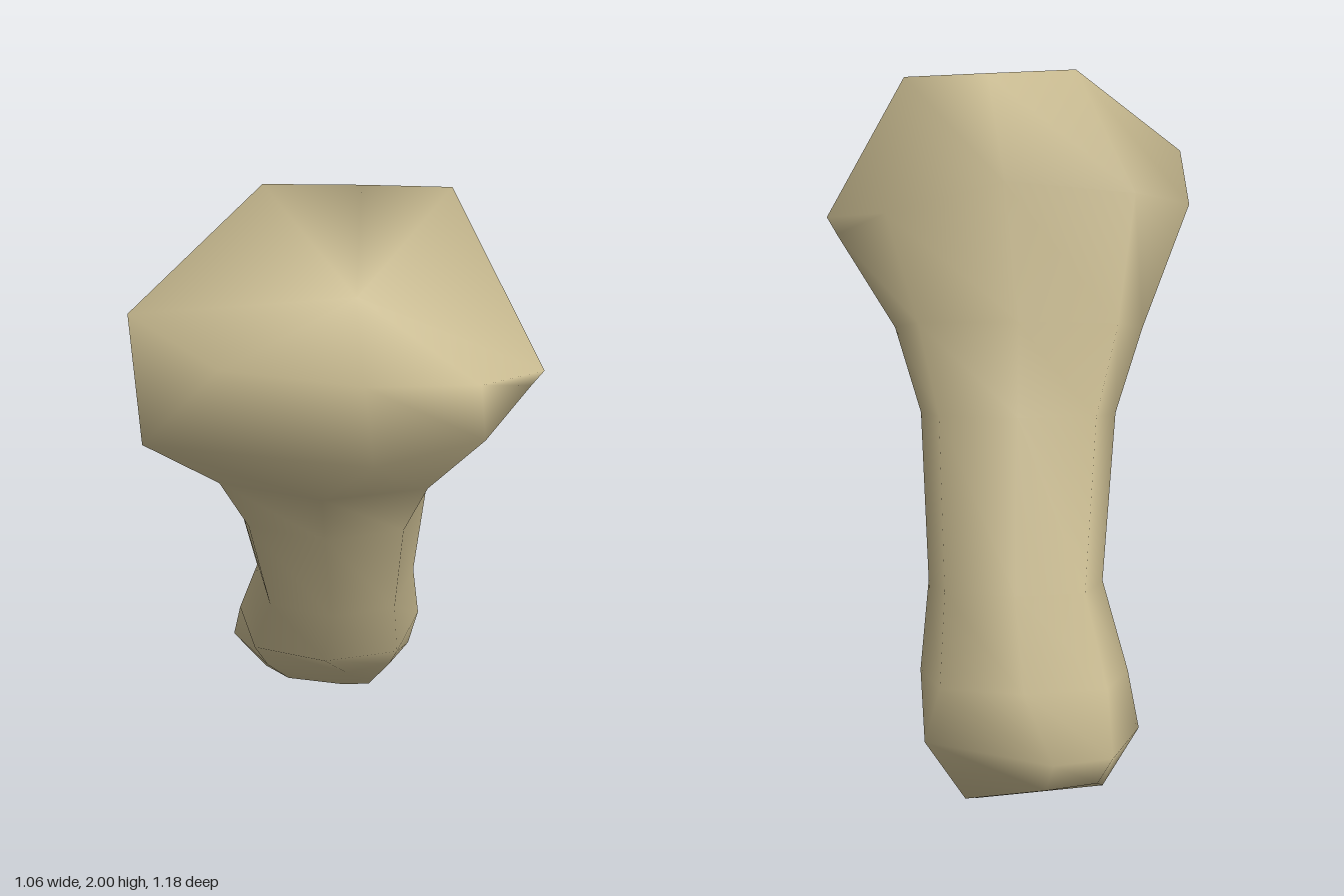
import * as THREE from 'three';

// Every ring has eight points, clockwise seen from above: back, back left, left,
// front left, front, front right, right, back right

// Head: slanted rim, then underside
const head = [
  [[0.05, 1.99, 0.05], [0.28, 1.98, 0.03], [0.53, 1.57, 0.24], [0.36, 1.66, 0.48],
    [0.08, 1.71, 0.59], [-0.28, 1.69, 0.49], [-0.52, 1.76, 0.34], [-0.2, 2, 0.08]],
  [[0, 1.7, -0.06], [0.34, 1.6, 0.05], [0.5, 1.52, 0.23], [0.38, 1.46, 0.41],
    [0.1, 1.42, 0.49], [-0.49, 1.44, 0.44], [-0.53, 1.62, 0.12], [-0.37, 1.66, 0.02]],
];

// Foot: widest ring, then sole
const foot = [
  [[-0.14, 0.2, -0.59], [0.21, 0.21, -0.46], [0.2, 0.2, -0.34], [0.14, 0.18, -0.25],
    [0, 0.18, -0.2], [-0.26, 0.17, -0.24], [-0.38, 0.21, -0.35], [-0.3, 0.2, -0.54]],
  [[-0.12, 0.13, -0.59], [0.1, 0.04, -0.45], [0.08, 0.01, -0.38], [0.07, 0, -0.36],
    [-0.02, 0.02, -0.33], [-0.2, 0.04, -0.33], [-0.28, 0.05, -0.38], [-0.26, 0.12, -0.52]],
];

// Tilted, slightly boxy octagon from its extents in x and z and its end heights
function octagon(xMin, xMax, zBack, zFront, yBack, yFront) {
  const mid = THREE.MathUtils.lerp;
  return Array.from({ length: 8 }, (_, i) => {
    const angle = (i * Math.PI) / 4;
    const reach = i % 2 ? 1.1 : 1;
    const u = 0.5 + 0.5 * reach * Math.sin(angle);
    const v = 0.5 - 0.5 * reach * Math.cos(angle);
    return [mid(xMin, xMax, u), mid(yBack, yFront, v), mid(zBack, zFront, v)];
  });
}

// Skins the rings and closes both ends with fans around a centre point
function loft(rings, topCentre, bottomCentre) {
  const n = rings[0].length;
  const points = [...rings.flat(), topCentre, bottomCentre];
  const top = points.length - 2, bottom = points.length - 1;
  const last = (rings.length - 1) * n;
  const index = [];
  for (let j = 0; j < n; j++) {
    const k = (j + 1) % n;
    for (let i = 0; i < last; i += n) {
      index.push(i + j, i + k, i + n + j, i + k, i + n + k, i + n + j);
    }
    index.push(top, k, j, bottom, last + j, last + k);
  }
  const geometry = new THREE.BufferGeometry();
  geometry.setAttribute('position', new THREE.Float32BufferAttribute(points.flat(), 3));
  geometry.setIndex(index);
  geometry.computeVertexNormals();
  return geometry;
}

export function createModel() {
  const group = new THREE.Group();
  group.name = 'bone';
  const boneTan = new THREE.MeshStandardMaterial({ color: 0xc8ba90 });
  boneTan.name = 'bone tan';

  // Neck, two shaft sections and the ankle join the head to the foot
  const shaft = [
    octagon(-0.4, 0.32, -0.15, 0.33, 1.32, 1.21),
    octagon(-0.32, 0.24, -0.25, 0.22, 1.07, 1),
    octagon(-0.28, 0.21, -0.44, 0.01, 0.62, 0.57),
    octagon(-0.35, 0.23, -0.54, -0.06, 0.38, 0.34),
  ];
  const rings = [...head, ...shaft, ...foot];

  const body = new THREE.Mesh(loft(rings, [0.05, 1.82, 0.34], [-0.08, 0.05, -0.43]), boneTan);
  body.name = 'boneBody';
  group.add(body);
  return group;
}
